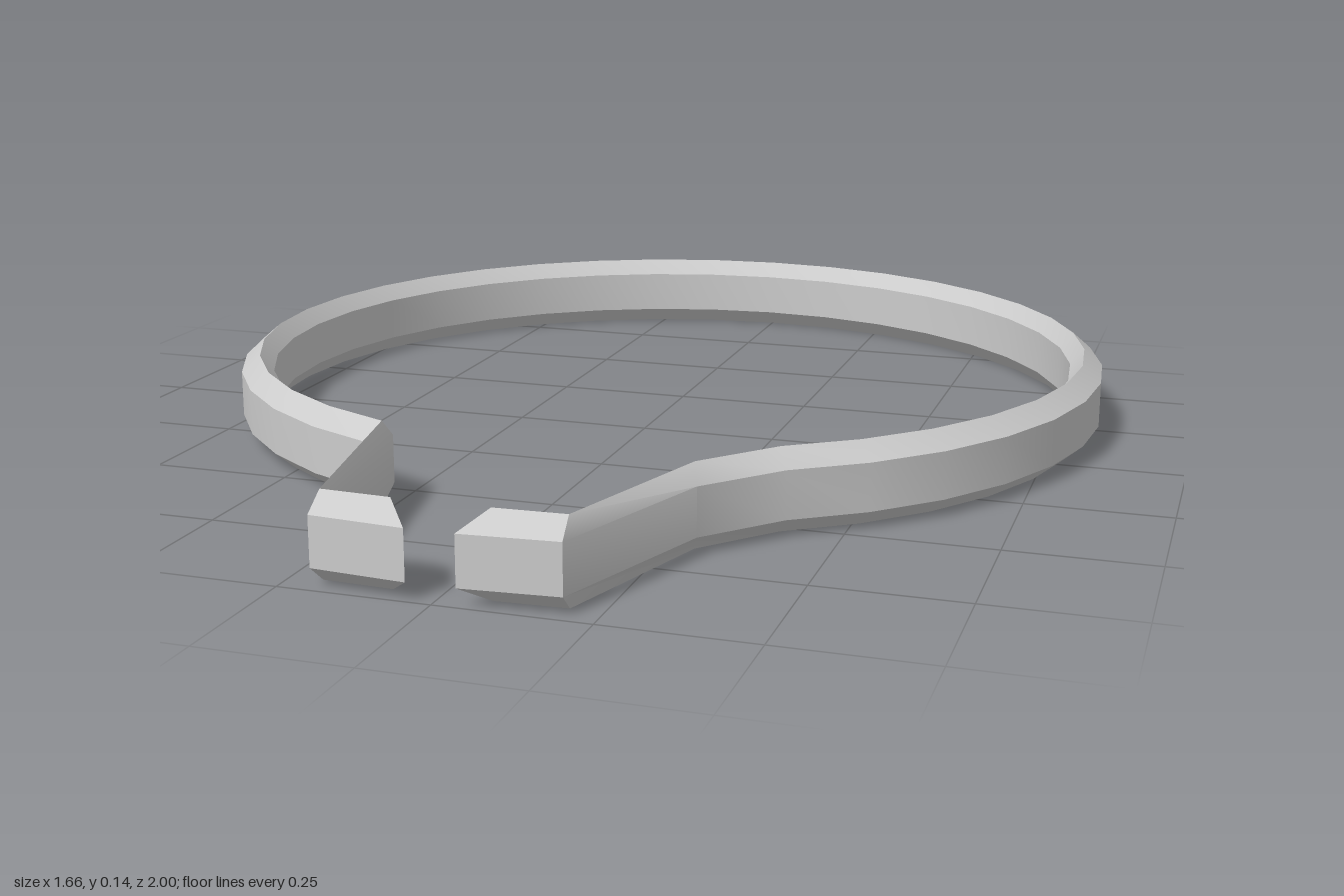
import * as THREE from 'three';
import { toCreasedNormals } from 'three/addons/utils/BufferGeometryUtils.js';

const HEIGHT = 0.143, LOW = 0.03, HIGH = 0.113;
const OUTER = 0.83, INNER = 0.77, CENTRE_Z = -0.17;

// Stations along the band: [outer x, outer z, inner x, inner z]
function bandStations() {
  const stations = [
    [0.04, 1.0, 0.108, 0.925],  // left tip, cut at a slant
    [0.2, 0.987, 0.195, 0.925], // left foot corner
    [0.305, 0.675, 0.282, 0.618], // left arm blends into the ring
  ];
  // ring in 10 degree steps, measured from +z towards +x
  for (let deg = 30; deg <= 340; deg += 10) {
    const a = THREE.MathUtils.degToRad(deg), s = Math.sin(a), c = Math.cos(a);
    stations.push([OUTER * s, CENTRE_Z + OUTER * c, INNER * s, CENTRE_Z + INNER * c]);
  }
  stations.push(
    [-0.2, 0.987, -0.195, 0.925], // right foot corner
    [-0.04, 1.0, -0.108, 0.925],  // right tip
  );
  return stations;
}

// Six-sided section: flat outer and inner walls, ridges at top and bottom
function sectionPoints([ox, oz, ix, iz]) {
  const mx = THREE.MathUtils.lerp(ox, ix, 0.58);
  const mz = THREE.MathUtils.lerp(oz, iz, 0.58);
  return [
    [ox, LOW, oz], [ox, HIGH, oz], [mx, HEIGHT, mz],
    [ix, HIGH, iz], [ix, LOW, iz], [mx, 0, mz],
  ];
}

function bandGeometry() {
  const sections = bandStations().map(sectionPoints);
  const sides = 6, last = (sections.length - 1) * sides;
  const index = [];
  for (let i = 0; i < sections.length - 1; i++) {
    for (let j = 0; j < sides; j++) {
      const a = i * sides + j, d = i * sides + (j + 1) % sides;
      const b = a + sides, c = d + sides;
      index.push(a, b, d, b, c, d);
    }
  }
  // end caps
  for (let j = 1; j < sides - 1; j++) {
    index.push(0, j, j + 1, last, last + j + 1, last + j);
  }
  const geometry = new THREE.BufferGeometry();
  geometry.setAttribute('position', new THREE.Float32BufferAttribute(sections.flat(2), 3));
  geometry.setIndex(index);
  return toCreasedNormals(geometry, THREE.MathUtils.degToRad(32));
}

export function createModel() {
  const group = new THREE.Group();
  group.name = 'openRingClip';
  const band = new THREE.Mesh(bandGeometry(), new THREE.MeshStandardMaterial({ color: 0xcccccc }));
  band.name = 'clipBand';
  group.add(band);
  return group;
}
